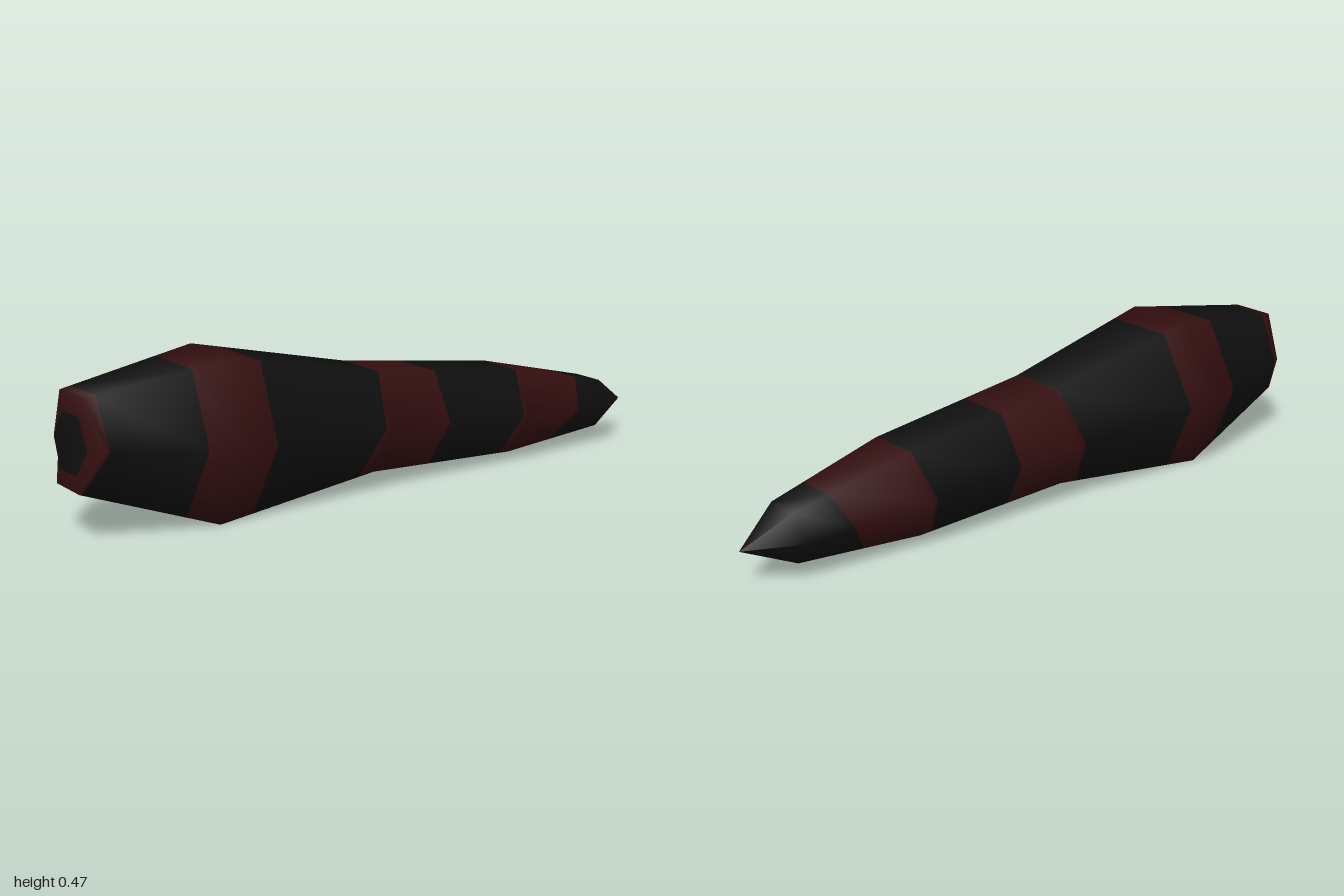
import * as THREE from 'three';

// Hexagonal stations, front to back: side half-width, then [z, y] of top edge, side corner, bottom edge
const stations = [
  { w: 0, top: [0.99, 0.27], side: [0.99, 0.27], low: [0.99, 0.27] },
  { w: 0.1, top: [0.985, 0.35], side: [0.988, 0.27], low: [0.997, 0.19] },
  { w: 0.137, top: [0.98, 0.403], side: [0.955, 0.27], low: [1, 0.145] },
  { w: 0.232, top: [0.55, 0.467], side: [0.57, 0.235], low: [0.6, 0] },
  { w: 0.178, top: [0.04, 0.355], side: [0.05, 0.205], low: [0.06, 0.055] },
  { w: 0.16, top: [-0.49, 0.288], side: [-0.475, 0.16], low: [-0.46, 0.03] },
  { w: 0.105, top: [-0.86, 0.2], side: [-0.855, 0.125], low: [-0.85, 0.05] },
  { w: 0, top: [-1, 0.11], side: [-1, 0.11], low: [-1, 0.11] },
];

// Slanted colour boundaries: the station they follow, and z at top, side, bottom
const cuts = [
  [2, 0.945, 0.94, 0.992],
  [2, 0.67, 0.68, 0.7],
  [3, 0.46, 0.475, 0.49],
  [3, 0.045, 0.08, 0.12],
  [4, -0.165, -0.16, -0.145],
  [4, -0.485, -0.455, -0.42],
  [5, -0.75, -0.71, -0.645],
];

// Points of one station as [x, y, z] on the +x side
const points = (s) => [
  [s.w / 2, s.top[1], s.top[0]],
  [s.w, s.side[1], s.side[0]],
  [s.w / 2, s.low[1], s.low[0]],
];

// Boundary ring lying on the surface between two stations
function cutRing([i, ...zs]) {
  const a = points(stations[i]), b = points(stations[i + 1]);
  return zs.map((z, k) => {
    const t = (z - a[k][2]) / (b[k][2] - a[k][2]);
    return a[k].map((v, n) => v + (b[k][n] - v) * t);
  });
}

function bodyGeometry() {
  // Ordered rings; each is marked when it flips the stripe colour
  const rings = [];
  stations.forEach((s, i) => {
    rings.push({ p: points(s), flip: i === 1 });
    cuts.filter((c) => c[0] === i).forEach((c) => rings.push({ p: cutRing(c), flip: true }));
  });

  const positions = [], index = [];
  const geometry = new THREE.BufferGeometry();
  for (const { p: [top, side, low] } of rings) {
    const mirror = ([x, y, z]) => [-x, y, z];
    for (const v of [side, top, mirror(top), mirror(side), mirror(low), low]) positions.push(...v);
  }
  let colour = 0;
  for (let r = 0; r < rings.length - 1; r++) {
    if (rings[r].flip) colour = 1 - colour;
    geometry.addGroup(index.length, 36, colour);
    for (let k = 0; k < 6; k++) {
      const a = r * 6 + k, b = r * 6 + (k + 1) % 6, c = b + 6, d = a + 6;
      index.push(a, d, b, b, d, c);
    }
  }
  geometry.setAttribute('position', new THREE.Float32BufferAttribute(positions, 3));
  geometry.setIndex(index);
  geometry.computeVertexNormals();
  return geometry;
}

export function createModel() {
  const black = new THREE.MeshStandardMaterial({ color: 0x0f0f0f });
  black.name = 'black';
  const darkRed = new THREE.MeshStandardMaterial({ color: 0x340f10 });
  darkRed.name = 'darkRed';

  const group = new THREE.Group();
  group.name = 'stripedTail';
  const body = new THREE.Mesh(bodyGeometry(), [black, darkRed]);
  body.name = 'stripedBody';
  group.add(body);
  return group;
}
